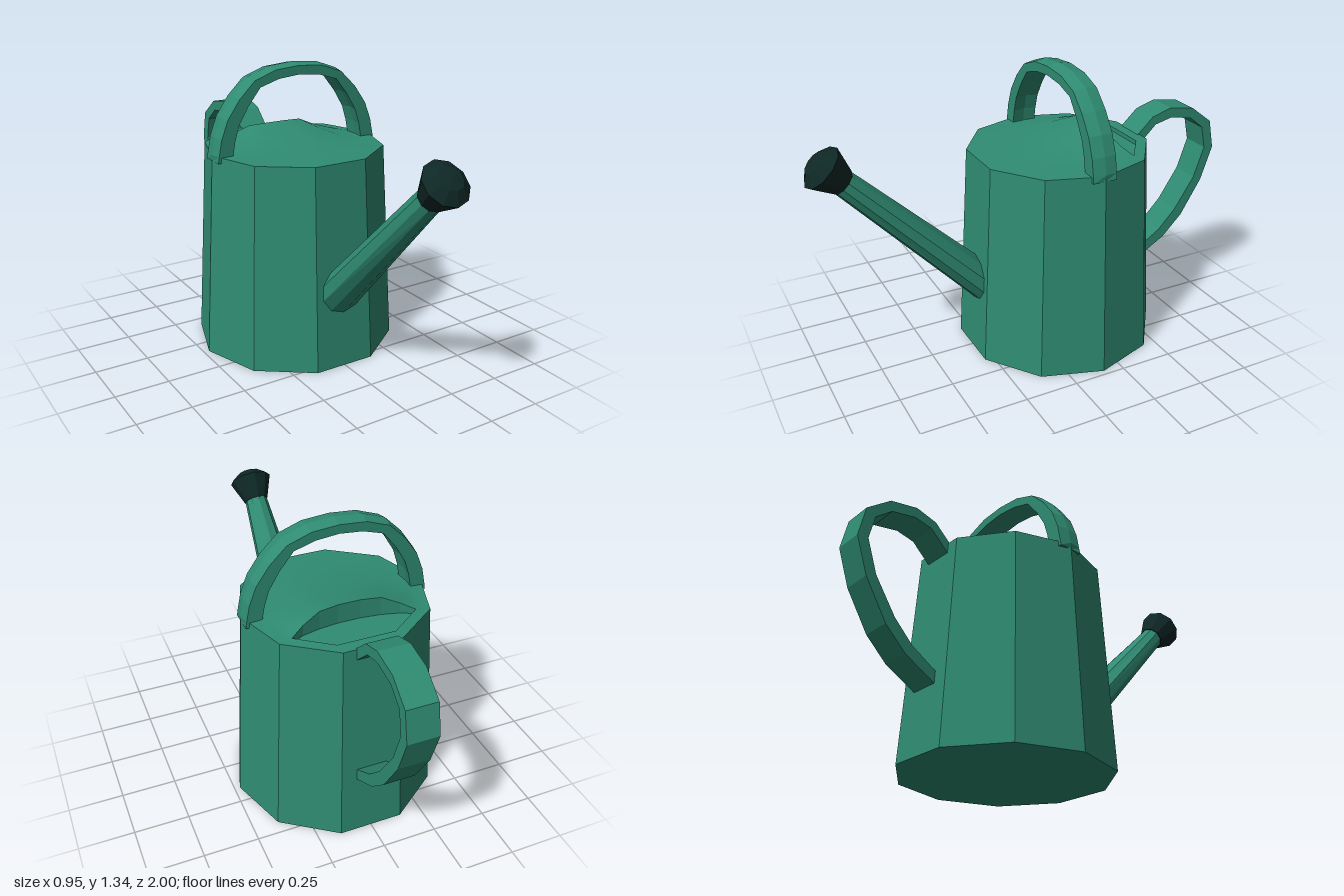
import * as THREE from 'three';

const green = new THREE.MeshStandardMaterial({ color: 0x2f8c72 });
green.name = 'green enamel';
const dark = new THREE.MeshStandardMaterial({ color: 0x0e2826 });
dark.name = 'dark rose';

const SIDES = 10, CZ = -0.16, RIM_Y = 0.955, RIM_R = 0.42;

// faceted normals
function flat(geometry) {
  const g = geometry.index ? geometry.toNonIndexed() : geometry;
  g.computeVertexNormals();
  return g;
}

function part(name, geometry, material = green) {
  const mesh = new THREE.Mesh(geometry, material);
  mesh.name = name;
  return mesh;
}

const lathe = (points, phi = 0) =>
  flat(new THREE.LatheGeometry(points.map(([x, y]) => new THREE.Vector2(x, y)), SIDES, phi));

// surface through closed rings of SIDES points, outermost ring first
function rings(rows) {
  const index = [];
  for (let r = 0; r < rows.length - 1; r++) {
    for (let i = 0; i < SIDES; i++) {
      const j = (i + 1) % SIDES, o = r * SIDES, n = o + SIDES;
      index.push(o + i, n + i, o + j, o + j, n + i, n + j);
    }
  }
  const g = new THREE.BufferGeometry();
  g.setAttribute('position', new THREE.Float32BufferAttribute(rows.flat(2), 3));
  g.setIndex(index);
  g.computeVertexNormals();
  return g;
}

// flat strap between an outer and an inner outline
function strap(outer, inner, width, steps = 1) {
  const shape = new THREE.Shape([...outer, ...inner.slice().reverse()].map(([x, y]) => new THREE.Vector2(x, y)));
  const g = new THREE.ExtrudeGeometry(shape, { depth: width, bevelEnabled: false, steps });
  g.translate(0, 0, -width / 2);
  return g;
}

const mirror = (half) => [...half, ...half.slice(0, -1).reverse().map(([x, y]) => [-x, y])];

export function createModel() {
  const model = new THREE.Group();
  model.name = 'wateringCan';

  // tapered ten-sided body with its base
  const body = part('body', lathe([[0, 0], [0.475, 0], [RIM_R, RIM_Y]], Math.PI / 10));
  body.position.z = CZ;
  model.add(body);

  // top: rises from the rim to a hooded lip in front of the filling hole
  const rim = [];
  for (let i = 0; i < SIDES; i++) {
    const a = (i - 1) * Math.PI / 5;
    rim.push([RIM_R * Math.cos(a), RIM_Y, CZ + RIM_R * Math.sin(a)]);
  }
  const half = [[0.28, 0.957, -0.39], [0.22, 0.985, -0.36], [0.14, 1.02, -0.34], [0.05, 1.025, -0.33]];
  const flip = ([x, y, z]) => [-x, y, z];
  const lip = [...half, ...half.slice().reverse().map(flip), [-0.13, RIM_Y, -0.5], [0.13, RIM_Y, -0.5]];
  const blend = (t) => rim.map((p, i) => [
    p[0] + (lip[i][0] - p[0]) * t,
    p[1] + (lip[i][1] - p[1]) * t ** 2.2,
    p[2] + (lip[i][2] - p[2]) * t,
  ]);
  model.add(part('top', rings([0, 0.25, 0.5, 0.75, 1].map(blend))));

  // shallow filling hole
  const floor = lip.map(([x, , z]) => [x, 0.935, z]);
  const centre = lip.map(() => [0, 0.935, -0.42]);
  model.add(part('fillingHole', flat(rings([lip, floor, centre]))));

  // carrying handle, slightly crowned along its middle
  const archOuter = mirror([[0.418, 0.93], [0.413, 0.96], [0.398, 1.035], [0.365, 1.12], [0.305, 1.205], [0.228, 1.28], [0.122, 1.318], [0, 1.328]]);
  const archInner = mirror([[0.345, 0.93], [0.343, 0.96], [0.332, 1.02], [0.31, 1.09], [0.262, 1.17], [0.2, 1.248], [0.105, 1.277], [0, 1.287]]);
  const arch = strap(archOuter, archInner, 0.115, 2);
  const p = arch.attributes.position;
  for (let i = 0; i < p.count; i++) {
    if (Math.abs(p.getZ(i)) < 0.01 && p.getY(i) > 0.95) {
      p.setXY(i, p.getX(i) * 1.02, 0.95 + (p.getY(i) - 0.95) * 1.03);
    }
  }
  const carry = part('carryingHandle', flat(arch));
  carry.position.z = CZ;
  model.add(carry);

  // rear handle, outlined by distance behind the centre and height
  const rearOuter = [[0.545, 0.95], [0.63, 1.03], [0.73, 1.06], [0.86, 1.038], [0.97, 0.955], [1, 0.815], [0.945, 0.65], [0.84, 0.475], [0.74, 0.375], [0.58, 0.28]];
  const rearInner = [[0.545, 0.89], [0.65, 0.99], [0.735, 1.01], [0.85, 0.99], [0.925, 0.93], [0.95, 0.82], [0.9, 0.67], [0.8, 0.515], [0.71, 0.42], [0.58, 0.335]];
  const rear = strap(rearOuter, rearInner, 0.14);
  rear.rotateY(Math.PI / 2);
  model.add(part('rearHandle', flat(rear)));

  // spout: from an upright ring on the wall to a tilted ring at the rose
  const spout = new THREE.CylinderGeometry(1, 1, 1, SIDES, 1, true);
  const s = spout.attributes.position;
  for (let i = 0; i < s.count; i++) {
    const x = s.getX(i), z = s.getZ(i);
    if (s.getY(i) > 0) s.setXYZ(i, 0.056 * x, 0.97 - 0.04 * z, 0.85 + 0.04 * z);
    else s.setXYZ(i, 0.113 * x, 0.362 - 0.113 * z, 0.258 + 0.006 * z);
  }
  model.add(part('spout', flat(spout)));

  // sprinkler rose
  const rose = part('rose', lathe([[0, 0], [0.06, 0], [0.104, 0.115], [0.055, 0.153], [0, 0.16]]), dark);
  rose.position.set(0, 0.965, 0.845);
  rose.rotation.x = Math.PI / 4;
  model.add(rose);

  return model;
}
